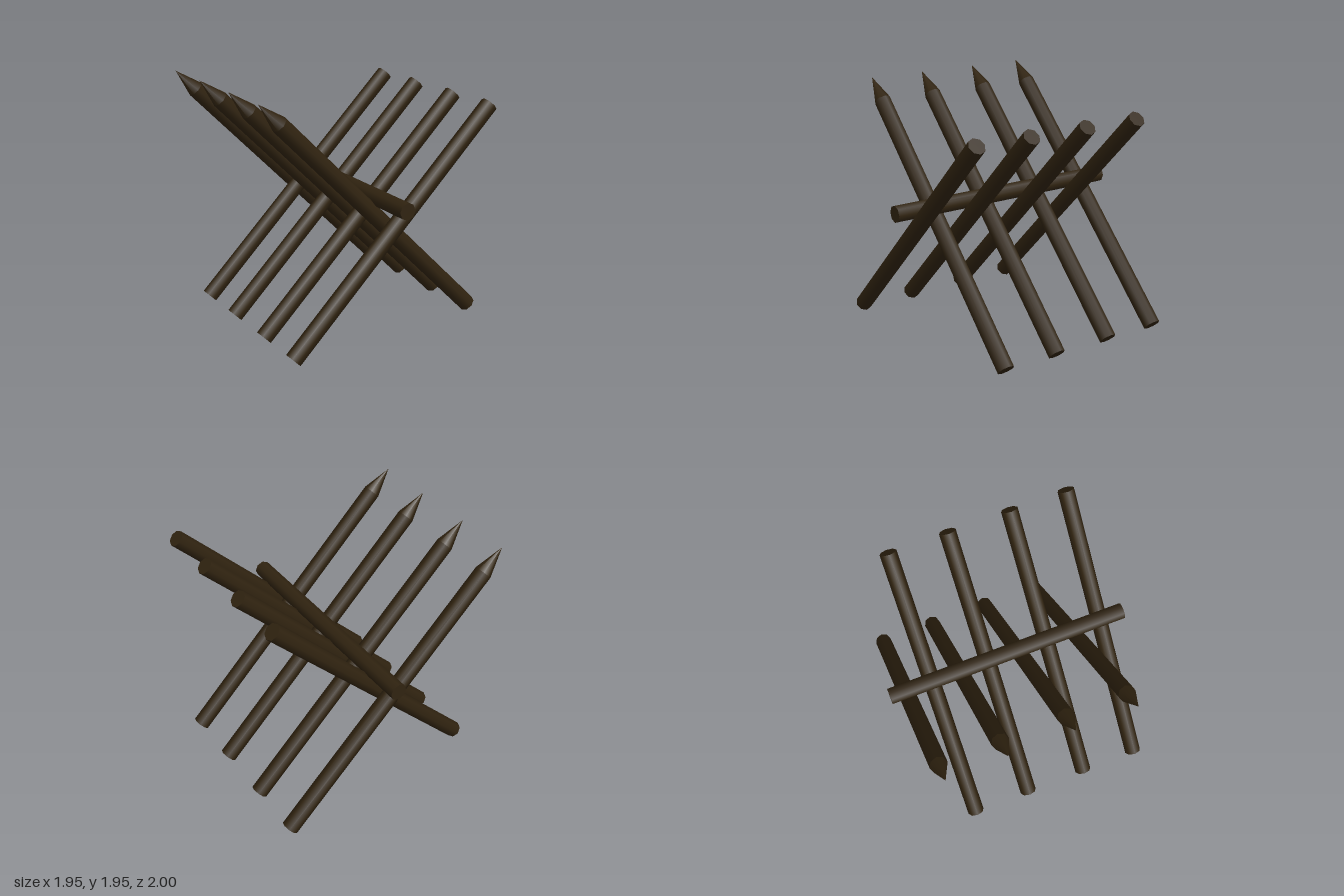
import * as THREE from 'three';

const RADIUS = 0.068;
const SIDES = 8;

export function createModel() {
  const model = new THREE.Group();
  model.name = 'stakeBarricade';
  const wood = new THREE.MeshStandardMaterial({ color: 0x302310 });
  wood.name = 'darkWood';
  const up = new THREE.Vector3(0, 1, 0);

  // A log, or a cone when topRadius is 0, running from one point to another
  function addLog(parent, name, from, to, topRadius = RADIUS, openEnd = false) {
    const axis = to.clone().sub(from);
    const geometry = new THREE.CylinderGeometry(topRadius, RADIUS, axis.length(), SIDES, 1, openEnd);
    const log = new THREE.Mesh(geometry, wood);
    log.name = name;
    log.position.copy(from).add(to).multiplyScalar(0.5);
    log.quaternion.setFromUnitVectors(up, axis.normalize());
    parent.add(log);
  }

  // Sharpened stakes leaning to the right
  for (const z of [-0.86, -0.39, 0.12, 0.6]) {
    const stake = new THREE.Group();
    stake.name = 'sharpenedStake';
    const shoulder = new THREE.Vector3(-0.812, 1.79, z);
    addLog(stake, 'stakeShaft', new THREE.Vector3(0.927, 0.051, z), shoulder);
    addLog(stake, 'stakePoint', shoulder, new THREE.Vector3(-0.977, 1.955, z), 0, true);
    model.add(stake);
  }

  // Blunt support logs leaning to the left
  for (const z of [-0.64, -0.157, 0.355, 0.827]) {
    addLog(model, 'supportLog', new THREE.Vector3(-0.843, 0.051, z), new THREE.Vector3(0.896, 1.79, z));
  }

  // Long beam resting in the crossing
  addLog(model, 'ridgeBeam', new THREE.Vector3(0.038, 1.107, -1), new THREE.Vector3(0.038, 1.107, 1));

  return model;
}
